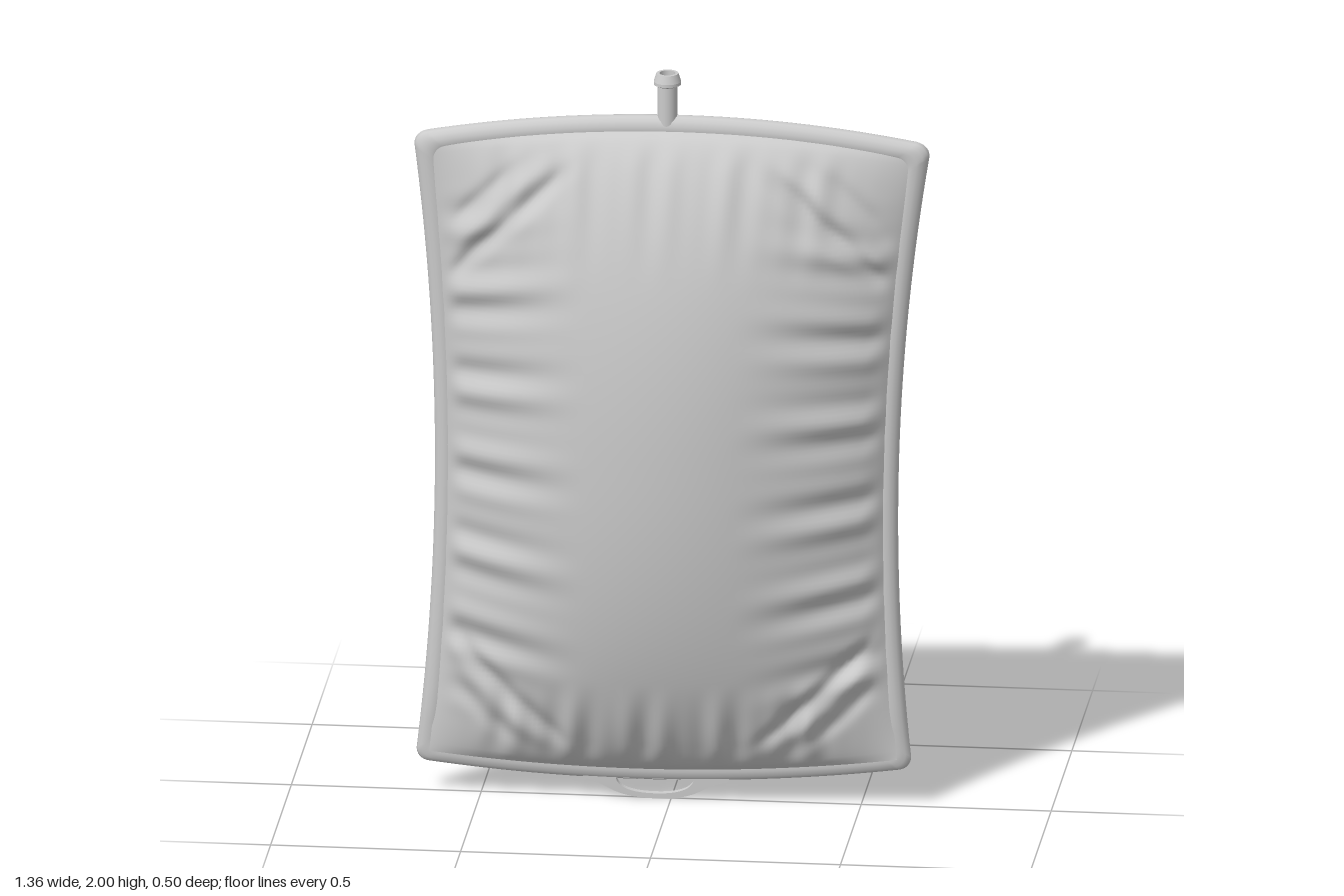
import * as THREE from 'three';

const material = new THREE.MeshStandardMaterial({ color: 0xcccccc });
const HALF_W = 0.65, HALF_H = 0.9;
const { lerp, smoothstep } = THREE.MathUtils;

// Maps u, v in [-1, 1] to the bowed outline: waisted sides, arched top and bottom
function place(u, v) {
  const left = -(0.622 + 0.003 * v + 0.055 * v * v);
  const right = 0.6 + 0.025 * v + 0.06 * v * v;
  const top = 1.885 - 0.065 * u * u + 0.006 * u;
  const bottom = 0.05 + 0.045 * u * u + 0.01 * u;
  return [lerp(left, right, (u + 1) / 2), lerp(bottom, top, (v + 1) / 2)];
}

const ripple = (p, seed) => (Math.sin(p + seed) + 0.6 * Math.sin(p * 1.63 + seed * 2.3)) / 1.6;
const band = (x, from, to) => smoothstep(x, from, to) * (1 - smoothstep(x, 0.9, 1));

// Creases pulled in from the side seams, the ends and across the corners
function folds(u, v, seed) {
  const a = Math.abs(u), b = Math.abs(v);
  const sideSeed = seed + (u > 0 ? 2 : 0);
  const side = 0.012 * band(a, 0.3, 0.85) * (1 - smoothstep(b, 0.6, 0.9));
  const end = (v < 0 ? 0.012 : 0.006) * band(b, v < 0 ? 0.68 : 0.55, 0.88) * (1 - smoothstep(a, 0.6, 0.9));
  let z = side * ripple(v * (32 + 5 * a), sideSeed) + end * ripple(u * 30, seed);
  const across = (a * 0.64 - 0.56) * 0.63 + (b * 0.87 - 0.55) * 0.78;
  const inside = (1 - smoothstep(a, 0.85, 0.97)) * (1 - smoothstep(b, 0.85, 0.97));
  for (const [offset, depth] of [[0, -0.016], [0.05, 0.008], [0.1, -0.01]]) {
    z += depth * inside * Math.exp(-(((across - offset) / 0.022) ** 2)) * smoothstep(a, 0.3, 0.55);
  }
  return z;
}

// One inflated wall; side is +1 for front, -1 for back
function panel(name, side) {
  const geo = new THREE.PlaneGeometry(2, 2, 100, 130);
  const pos = geo.attributes.position;
  const seed = side > 0 ? 0.7 : 3.1;
  for (let i = 0; i < pos.count; i++) {
    const s = side * pos.getX(i), t = pos.getY(i);
    const u = s * (1 - 0.035 / HALF_W), v = t * (1 - 0.035 / HALF_H);
    const bulge = (1 - s * s) ** 0.9 * (1 - Math.abs(t) ** 2.2) ** 0.7;
    const [x, y] = place(u, v);
    pos.setXYZ(i, x, y, side * Math.max(0.015, 0.022 + 0.228 * bulge + folds(s, t, seed)));
  }
  geo.computeVertexNormals();
  const mesh = new THREE.Mesh(geo, material);
  mesh.name = name;
  return mesh;
}

// Welded rim: a flattened round section swept round the rounded outline
function seamRim() {
  const path = [], r = 0.035, arc = 8, run = 32, sides = 14;
  const corners = [[1, 1], [-1, 1], [-1, -1], [1, -1]];
  const arcPoint = (k, f) => {
    const angle = (k + f) * Math.PI / 2;
    return [corners[k][0] * (HALF_W - r) + r * Math.cos(angle), corners[k][1] * (HALF_H - r) + r * Math.sin(angle)];
  };
  for (let k = 0; k < 4; k++) {
    for (let i = 0; i < arc; i++) path.push(arcPoint(k, i / arc));
    const from = arcPoint(k, 1), to = arcPoint((k + 1) % 4, 0);
    for (let i = 0; i < run; i++) path.push([lerp(from[0], to[0], i / run), lerp(from[1], to[1], i / run)]);
  }
  const verts = [], index = [], n = path.length;
  path.forEach(([px, py], i) => {
    const thick = lerp(0.018, 0.027, smoothstep(py, -HALF_H, -HALF_H + 0.15));
    for (let j = 0; j < sides; j++) {
      const a = j / sides * Math.PI * 2, inset = 0.033 * (1 - Math.cos(a));
      const [x, y] = place(px / HALF_W * (1 - inset / HALF_W), py / HALF_H * (1 - inset / HALF_H));
      verts.push(x, y, thick * Math.sin(a));
      const i2 = (i + 1) % n, j2 = (j + 1) % sides;
      const A = i * sides + j, B = i2 * sides + j, C = i2 * sides + j2, D = i * sides + j2;
      index.push(A, B, C, A, C, D);
    }
  });
  const geo = new THREE.BufferGeometry();
  geo.setAttribute('position', new THREE.Float32BufferAttribute(verts, 3));
  geo.setIndex(index);
  geo.computeVertexNormals();
  const mesh = new THREE.Mesh(geo, material);
  mesh.name = 'seamRim';
  return mesh;
}

// Hanging tab with a slot, below the bottom seam
function hangingTab() {
  const shape = new THREE.Shape();
  shape.moveTo(-0.24, 0.075);
  shape.lineTo(-0.23, 0.052);
  shape.bezierCurveTo(-0.17, 0.04, -0.16, 0, -0.04, 0);
  shape.bezierCurveTo(0.08, 0, 0.08, 0.04, 0.15, 0.052);
  shape.lineTo(0.16, 0.075);
  shape.closePath();
  const slot = new THREE.Path();
  slot.moveTo(-0.145, 0.054);
  slot.lineTo(0.06, 0.054);
  slot.bezierCurveTo(0.055, 0.025, 0.01, 0.014, -0.04, 0.014);
  slot.bezierCurveTo(-0.1, 0.014, -0.14, 0.025, -0.145, 0.054);
  shape.holes.push(slot);
  const geo = new THREE.ExtrudeGeometry(shape, { depth: 0.018, bevelEnabled: false, curveSegments: 16 });
  geo.translate(0, 0, -0.009);
  const mesh = new THREE.Mesh(geo, material);
  mesh.name = 'hangingTab';
  return mesh;
}

// Hollow spout with a barbed lip
function spout() {
  const profile = [[0.026, 1.855], [0.026, 1.965], [0.036, 1.97], [0.036, 1.978], [0.029, 2], [0.021, 2], [0.021, 1.9], [0, 1.9]];
  const group = new THREE.Group();
  // Each profile segment is its own band so the edges stay crisp
  for (let i = 0; i < profile.length - 1; i++) {
    const points = [profile[i], profile[i + 1]].map(p => new THREE.Vector2(...p));
    const mesh = new THREE.Mesh(new THREE.LatheGeometry(points, 28), material);
    mesh.name = 'spoutBand';
    group.add(mesh);
  }
  group.position.x = -0.01;
  group.name = 'spout';
  return group;
}

export function createModel() {
  const model = new THREE.Group();
  model.name = 'fluidBag';
  model.add(panel('frontPanel', 1), panel('backPanel', -1), seamRim(), hangingTab(), spout());
  return model;
}
